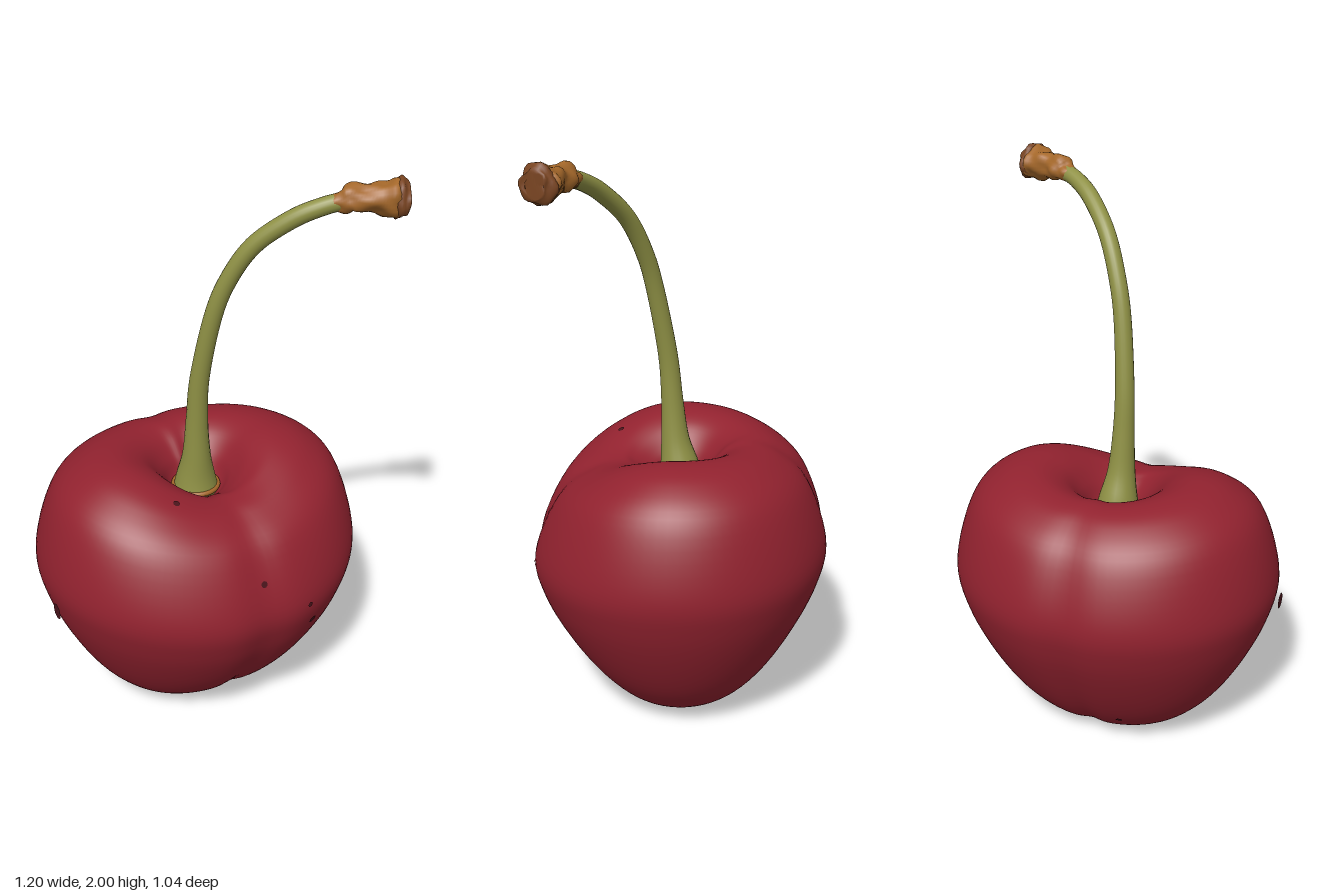
import * as THREE from 'three';

const V = (x, y, z) => new THREE.Vector3(x, y, z);
const mat = (name, color, side = THREE.FrontSide) => {
  const m = new THREE.MeshStandardMaterial({ color, side });
  m.name = name;
  return m;
};

// Smooth surface from closed rings: fn(t, angle) gives a point, t runs 0..1
function ringSurface(rows, cols, fn) {
  const pos = [], idx = [];
  for (let i = 0; i <= rows; i++)
    for (let j = 0; j < cols; j++) pos.push(...fn(i / rows, (j / cols) * Math.PI * 2).toArray());
  for (let i = 0; i < rows; i++)
    for (let j = 0; j < cols; j++) {
      const k = (j + 1) % cols;
      const a = i * cols + j, d = i * cols + k, b = a + cols, c = d + cols;
      idx.push(a, d, b, d, c, b);
    }
  const g = new THREE.BufferGeometry();
  g.setAttribute('position', new THREE.Float32BufferAttribute(pos, 3));
  g.setIndex(idx);
  g.computeVertexNormals();
  return g;
}

// Tube with a changing radius; keys are [x, y, z, radius], knob adds lumps
function taperedTube(keys, rows, cols, knob = () => 0) {
  const path = new THREE.CatmullRomCurve3(keys.map(k => V(k[0], k[1], k[2])), false, 'catmullrom');
  const radius = new THREE.CatmullRomCurve3(keys.map(k => V(k[3], 0, 0)), false, 'catmullrom');
  return ringSurface(rows, cols, (t, a) => {
    const T = path.getTangent(t);
    const N = V(1, 0, -1).addScaledVector(T, -V(1, 0, -1).dot(T)).normalize();
    const B = T.clone().cross(N);
    const r = Math.max(0.0005, radius.getPoint(t).x) * (1 + knob(t, a));
    return path.getPoint(t).addScaledVector(N, r * Math.cos(a)).addScaledVector(B, r * Math.sin(a));
  });
}

// Fruit profiles [radius, height], from the stem pit over the rim to the underside
const profile = pts => new THREE.CatmullRomCurve3(pts.map(p => V(p[0], p[1], 0)), false, 'catmullrom');
const sideProfile = profile([[0, .8], [.08, .81], [.13, .88], [.2, .95], [.3, .98], [.42, .95], [.53, .85],
  [.595, .63], [.575, .48], [.5, .3], [.4, .14], [.28, .03], [.15, 0], [0, .02]]);
const frontProfile = profile([[0, .8], [.08, .8], [.12, .83], [.17, .86], [.22, .875], [.32, .855], [.44, .77],
  [.53, .57], [.505, .42], [.42, .26], [.32, .13], [.22, .04], [.12, .015], [0, .02]]);
const backProfile = profile([[0, .8], [.08, .81], [.12, .87], [.18, .93], [.26, .955], [.36, .925], [.46, .83],
  [.53, .63], [.51, .48], [.43, .3], [.33, .14], [.23, .04], [.12, .015], [0, .02]]);

function fruitPoint(t, a) {
  const s = Math.sin(a);
  const p = sideProfile.getPoint(t).lerp((s > 0 ? frontProfile : backProfile).getPoint(t), s * s);
  // Shallow seam down the front and back
  const seam = Math.exp(-((Math.cos(a) / 0.16) ** 2)) * Math.min(1, p.x / 0.3);
  const r = Math.max(0.0005, p.x - 0.018 * seam);
  return V(r * Math.cos(a), p.y, r * s);
}

export function createModel() {
  const model = new THREE.Group();
  const red = mat('cherryRed', 0x92222f);
  const green = mat('stemGreen', 0x8f9145);
  const tan = mat('budTan', 0xa5682a);
  const brown = mat('budBrown', 0x7a4522);
  const dark = mat('darkSpeck', 0x4a141b, THREE.DoubleSide);
  const add = (name, geometry, material) => {
    const m = new THREE.Mesh(geometry, material);
    m.name = name;
    model.add(m);
    return m;
  };

  add('fruit', ringSurface(78, 96, fruitPoint), red);

  // Stem flares into the pit and bends over to the front left
  add('stem', taperedTube([[0, .79, 0, .086], [-.003, .86, .005, .07], [-.008, .96, .02, .05],
    [-.012, 1.1, .03, .039], [-.01, 1.27, .045, .034], [.015, 1.5, .085, .031], [.05, 1.64, .12, .03],
    [.11, 1.77, .175, .03], [.2, 1.865, .25, .03], [.28, 1.912, .305, .029], [.36, 1.935, .345, .028]], 60, 20), green);

  const rim = add('stemBaseRim', new THREE.TorusGeometry(.08, .009, 8, 32), tan);
  rim.rotation.x = Math.PI / 2;
  rim.position.y = .818;

  // Dry, lumpy bud at the end of the stem
  const lumps = (t, a) => .08 * Math.sin(3 * a + 9 * t) + .06 * Math.sin(5 * a - 14 * t) + .05 * Math.sin(22 * t + a);
  add('budSheath', taperedTube([[.31, 1.922, .32, .027], [.335, 1.93, .335, .036], [.36, 1.938, .347, .044],
    [.4, 1.937, .367, .042], [.44, 1.936, .385, .05], [.475, 1.936, .4, .059], [.495, 1.936, .408, .055]], 28, 24, lumps), tan);
  add('budEnd', taperedTube([[.47, 1.936, .397, .045], [.482, 1.936, .403, .058], [.5, 1.936, .41, .06],
    [.516, 1.936, .417, .05], [.52, 1.936, .419, .034], [.51, 1.936, .414, .018], [.508, 1.936, .413, 0]], 24, 24, lumps), brown);

  // Small skin specks: [t, angle, size]
  for (const [t, a, size] of [[.6, 1.18, .016], [.5, 1.57, .012], [.55, 1.25, .01], [.34, 2.3, .012], [.77, 4.3, .012]]) {
    const p = fruitPoint(t, a);
    const du = fruitPoint(t + .01, a).sub(p), dv = fruitPoint(t, a + .02).sub(p);
    const n = dv.cross(du).normalize();
    const speck = add('speck', new THREE.CircleGeometry(size, 10), dark);
    speck.position.copy(p).addScaledVector(n, .003);
    speck.quaternion.setFromUnitVectors(V(0, 0, 1), n);
  }

  // Loose flake on the right side
  const flake = add('flake', new THREE.CircleGeometry(.03, 8), dark);
  flake.position.set(-.6, .52, .085);
  flake.rotation.y = -Math.PI / 2;
  return model;
}
